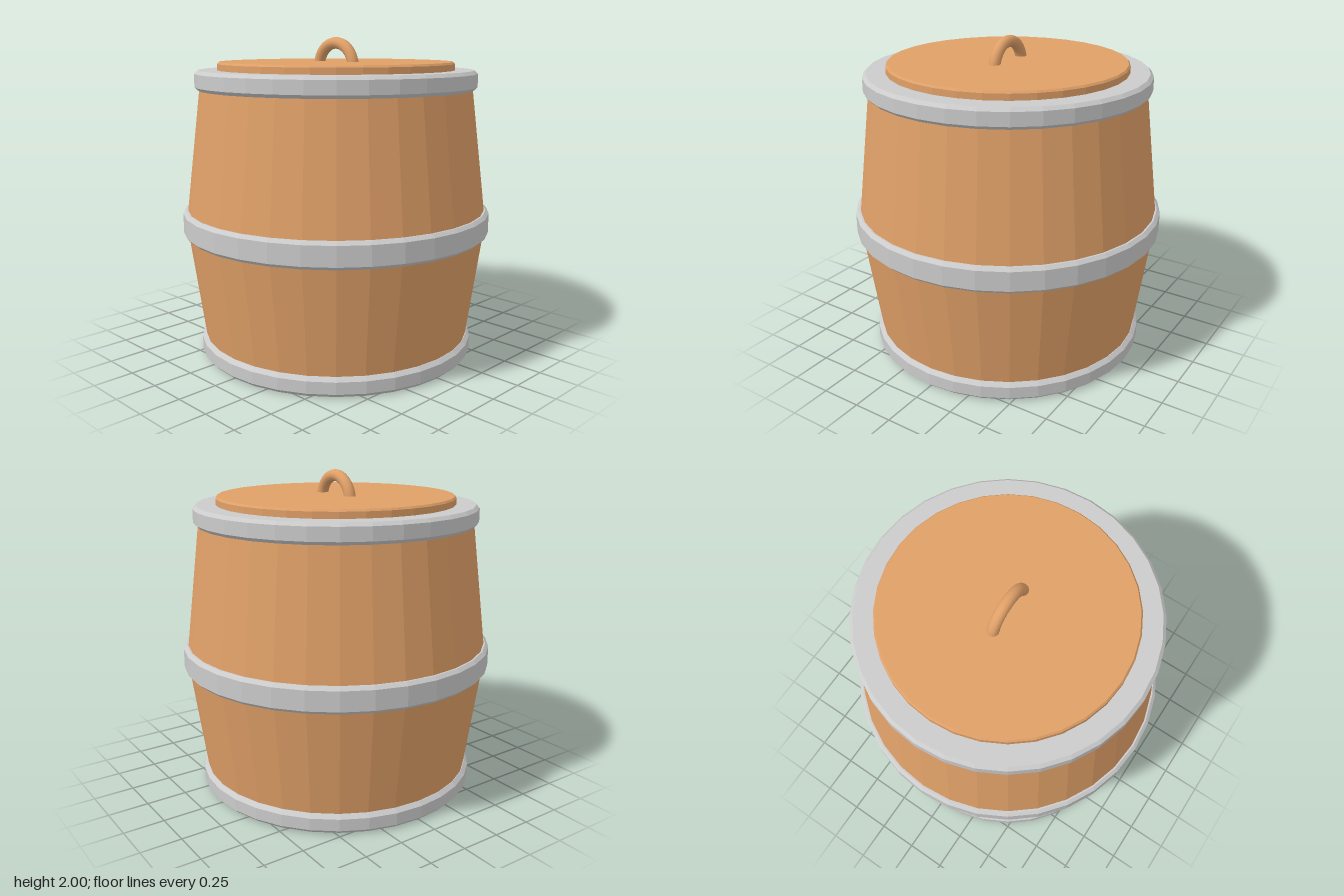
import * as THREE from 'three';

const SIDES = 32;
const wood = new THREE.MeshStandardMaterial({ color: 0xe0a068, flatShading: true });
const smoothWood = new THREE.MeshStandardMaterial({ color: 0xe0a068 });
const metal = new THREE.MeshStandardMaterial({ color: 0xcccccc, flatShading: true });

export function createModel() {
  const group = new THREE.Group();

  // Faceted solid turned from [radius, height] pairs, listed bottom to top
  const turn = (name, material, profile) => {
    const points = profile.map(([r, y]) => new THREE.Vector2(r, y));
    const mesh = new THREE.Mesh(new THREE.LatheGeometry(points, SIDES), material);
    mesh.name = name;
    group.add(mesh);
  };

  // Chamfered hoop between two heights
  const hoop = (name, inner, outer, y0, y1, bevel = 0.02, innerLift = 0) => turn(name, metal, [
    [inner, y0 + innerLift], [outer - bevel, y0], [outer, y0 + bevel],
    [outer, y1 - bevel], [outer - bevel, y1], [inner, y1], [inner, y0 + innerLift],
  ]);

  // Bulging staves, widest under the middle hoop
  turn('barrelBody', wood, [
    [0, 0.03], [0.75, 0.03], [0.845, 0.06], [0.945, 0.78], [0.945, 0.93], [0.845, 1.74], [0, 1.74],
  ]);

  // Metal hoops; the bottom one has a dished underside
  hoop('bottomHoop', 0.75, 0.88, 0, 0.12, 0.023, 0.03);
  hoop('middleHoop', 0.9, 0.975, 0.775, 0.935);
  hoop('topHoop', 0.7, 0.88, 1.68, 1.8, 0.02);

  // Lid with a thin bevel
  turn('lid', wood, [[0, 1.78], [0.74, 1.78], [0.74, 1.838], [0.73, 1.85], [0, 1.85]]);

  // Arched handle running front to back
  const handle = new THREE.Mesh(new THREE.TorusGeometry(0.15, 0.036, 12, 24, Math.PI), smoothWood);
  handle.name = 'lidHandle';
  handle.rotation.y = Math.PI / 2;
  handle.position.y = 1.814;
  group.add(handle);

  return group;
}
